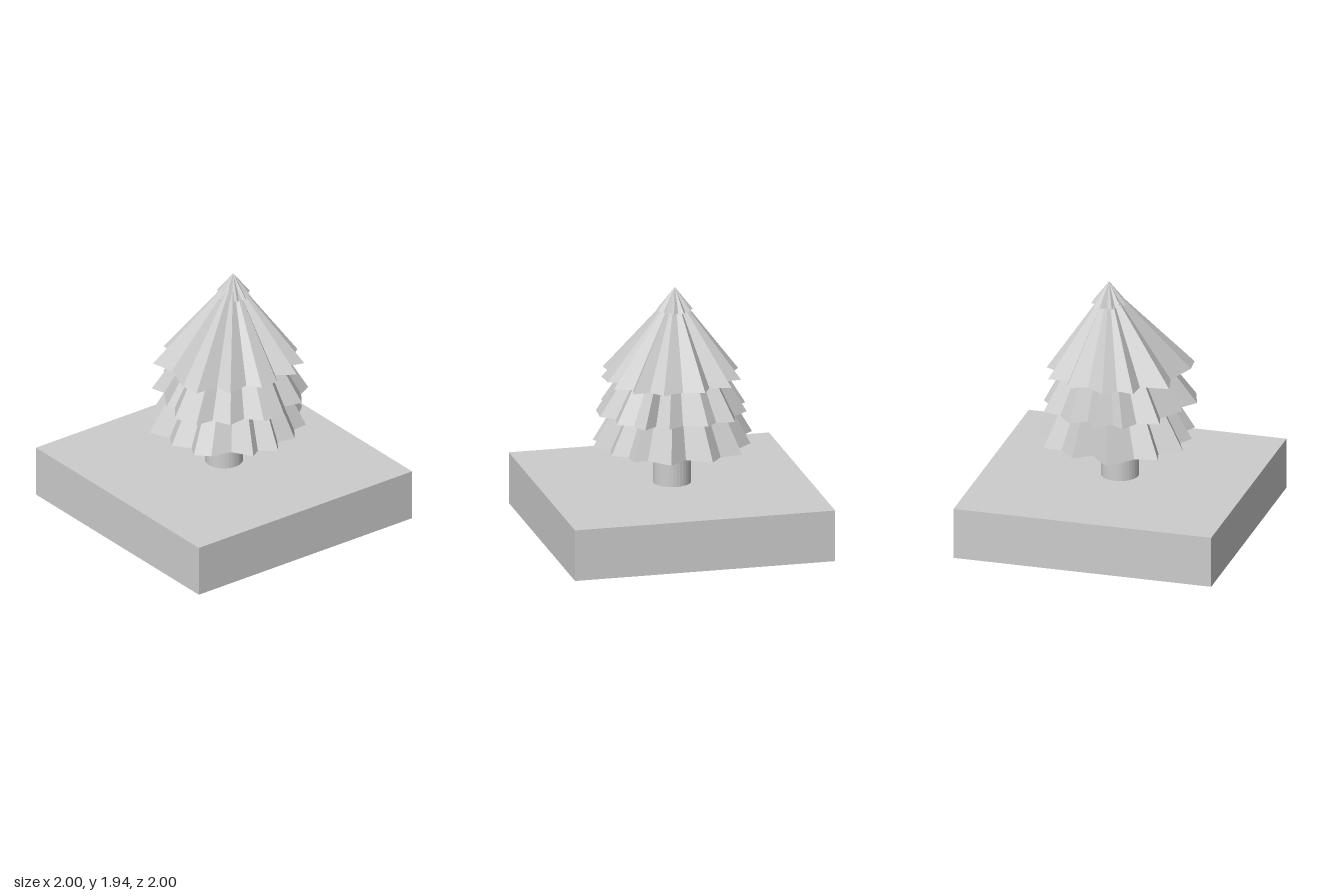
import * as THREE from 'three';

const APEX_X = 0, APEX_Z = -0.085;

// Ragged outlines of the branch tiers as [x, z], counter-clockwise from above
const lowerOutline = [
  [-0.2, 0.55], [-0.04, 0.48], [0.065, 0.54], [0.19, 0.45], [0.285, 0.5], [0.38, 0.41],
  [0.42, 0.25], [0.57, 0.16], [0.52, 0.08], [0.62, -0.035], [0.5, -0.12], [0.53, -0.257],
  [0.42, -0.337], [0.41, -0.455], [0.3, -0.45], [0.16, -0.61], [0.02, -0.5], [-0.16, -0.61],
  [-0.25, -0.49], [-0.42, -0.47], [-0.42, -0.33], [-0.55, -0.21], [-0.46, -0.08],
  [-0.635, 0.08], [-0.44, 0.24], [-0.4, 0.41], [-0.28, 0.38],
];
const middleOutline = [
  [0.13, 0.56], [0.315, 0.5], [0.33, 0.36], [0.47, 0.3], [0.45, 0.155], [0.57, 0.06],
  [0.585, -0.12], [0.48, -0.2], [0.51, -0.34], [0.4, -0.417], [0.34, -0.53], [0.24, -0.46],
  [0.16, -0.555], [0.04, -0.49], [-0.14, -0.55], [-0.22, -0.47], [-0.36, -0.49],
  [-0.39, -0.35], [-0.51, -0.25], [-0.45, -0.12], [-0.555, -0.03], [-0.46, 0.08],
  [-0.52, 0.17], [-0.385, 0.24], [-0.35, 0.41], [-0.235, 0.38], [-0.05, 0.5], [0, 0.46],
];
const upperOutline = [
  [0.155, 0.505], [0.305, 0.49], [0.32, 0.31], [0.46, 0.29], [0.43, 0.12], [0.53, 0.05],
  [0.52, -0.1], [0.43, -0.15], [0.52, -0.285], [0.38, -0.33], [0.41, -0.44], [0.28, -0.43],
  [0.2, -0.535], [0.04, -0.49], [-0.12, -0.535], [-0.18, -0.42], [-0.34, -0.46],
  [-0.33, -0.3], [-0.46, -0.28], [-0.41, -0.13], [-0.51, 0.01], [-0.42, 0.1],
  [-0.44, 0.23], [-0.295, 0.24], [-0.27, 0.46], [-0.09, 0.42],
];
// Small star at the crown
const crownOutline = Array.from({ length: 22 }, (_, i) => {
  const a = (i / 22) * Math.PI * 2, r = i % 2 ? 0.105 : 0.135;
  return [APEX_X + Math.sin(a) * r, APEX_Z + Math.cos(a) * r];
});

// Closed faceted cone from an outline at height y to one apex
function tierGeometry(outline, y, apexY) {
  const pos = [];
  outline.forEach(([x0, z0], i) => {
    const [x1, z1] = outline[(i + 1) % outline.length];
    pos.push(x0, y, z0, x1, y, z1, APEX_X, apexY, APEX_Z);
    pos.push(x1, y, z1, x0, y, z0, APEX_X, y, APEX_Z);
  });
  const g = new THREE.BufferGeometry();
  g.setAttribute('position', new THREE.Float32BufferAttribute(pos, 3));
  g.computeVertexNormals();
  return g;
}

export function createModel() {
  const group = new THREE.Group();
  group.name = 'tree';
  const grey = new THREE.MeshStandardMaterial({ color: 0xcccccc });
  grey.name = 'light grey';

  const add = (name, geometry) => {
    const mesh = new THREE.Mesh(geometry, grey);
    mesh.name = name;
    group.add(mesh);
  };

  // Square ground slab
  add('base', new THREE.BoxGeometry(2, 0.395, 2).translate(0, 0.1975, 0));

  // Faceted trunk, running up into the lowest tier
  const trunk = new THREE.CylinderGeometry(0.142, 0.142, 0.34, 32).toNonIndexed();
  trunk.computeVertexNormals();
  add('trunk', trunk.translate(0, 0.56, 0));

  // Branch tiers, bottom to top
  add('lowerBranches', tierGeometry(lowerOutline, 0.715, 1.8));
  add('middleBranches', tierGeometry(middleOutline, 0.98, 1.88));
  add('upperBranches', tierGeometry(upperOutline, 1.24, 1.91));
  add('crown', tierGeometry(crownOutline, 1.765, 1.94));

  return group;
}
